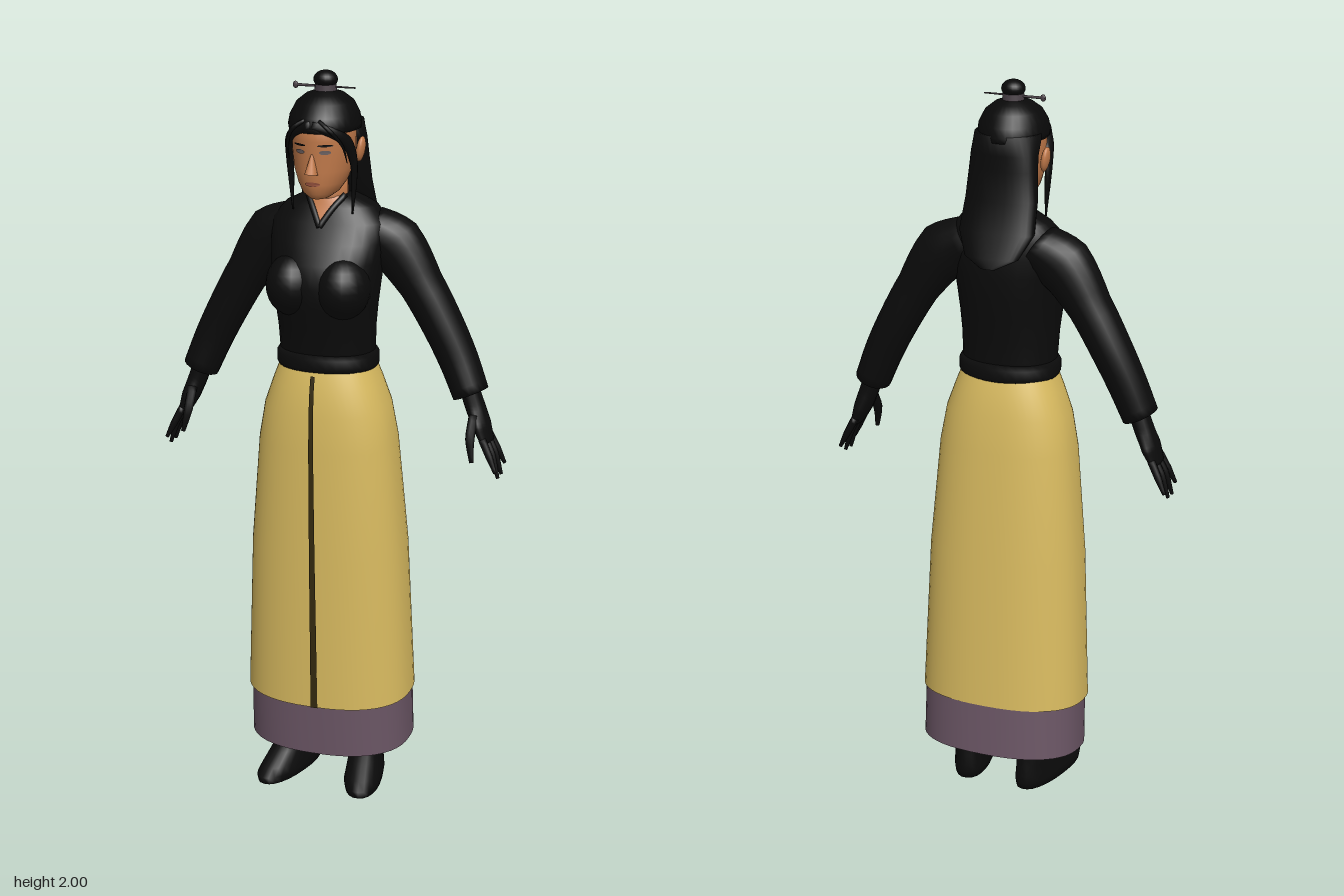
import * as THREE from 'three';

const mat = (name, color, side = THREE.FrontSide) => {
  const m = new THREE.MeshStandardMaterial({ color, side });
  m.name = name;
  return m;
};

// Joins rings of points into a smooth skin; a ring shrunk to a point closes an end.
function skinRings(rings) {
  const n = rings[0].length, pos = [], idx = [];
  rings.forEach(r => r.forEach(p => pos.push(p.x, p.y, p.z)));
  for (let i = 0; i < rings.length - 1; i++) for (let j = 0; j < n; j++) {
    const a = i * n + j, b = i * n + (j + 1) % n, c = b + n, d = a + n;
    idx.push(a, d, c, a, c, b);
  }
  const g = new THREE.BufferGeometry();
  g.setAttribute('position', new THREE.Float32BufferAttribute(pos, 3));
  g.setIndex(idx);
  g.computeVertexNormals();
  return g;
}

const bend = (v, p) => Math.sign(v) * Math.abs(v) ** (2 / p);

// Upright loft; each section is [y, half width, front z, back z]. Tilt raises the back.
function loft(sections, { power = 2, tilt = 0, closed = true, seg = 32 } = {}) {
  const list = sections.slice();
  if (closed) {
    const end = ([y, , f, b]) => [y, 0, (f + b) / 2, (f + b) / 2];
    list.unshift(end(sections[0]));
    list.push(end(sections.at(-1)));
  }
  return skinRings(list.map(([y, hx, f, b]) => Array.from({ length: seg }, (_, j) => {
    const a = j / seg * Math.PI * 2;
    const z = (f + b) / 2 + (f - b) / 2 * bend(Math.sin(a), power);
    return new THREE.Vector3(hx * bend(Math.cos(a), power), y - tilt * z, z);
  })));
}

// Elliptical tube along a curve; each radius is [across, along z].
function sweep(points, radii, seg = 14, steps = 20) {
  const curve = new THREE.CatmullRomCurve3(points.map(p => new THREE.Vector3(...p)));
  const rings = [];
  for (let i = 0; i <= steps; i++) {
    const t = i / steps, c = curve.getPoint(t), d = curve.getTangent(t);
    const u = new THREE.Vector3(0, 0, 1).addScaledVector(d, -d.z).normalize();
    const v = d.clone().cross(u);
    const k = Math.min(t * (radii.length - 1), radii.length - 1.0001), q = Math.floor(k);
    const r = [0, 1].map(e => THREE.MathUtils.lerp(radii[q][e], radii[q + 1][e], k - q));
    rings.push(Array.from({ length: seg }, (_, j) => {
      const a = j / seg * Math.PI * 2;
      return c.clone().addScaledVector(v, r[0] * Math.cos(a)).addScaledVector(u, r[1] * Math.sin(a));
    }));
    if (i === 0) rings.unshift(rings[0].map(() => c.clone()));
    if (i === steps) rings.push(rings.at(-1).map(() => c.clone()));
  }
  return skinRings(rings);
}

// Front z of a loft at a given x and y.
function frontZ(sections, x, y) {
  let i = 0;
  while (i < sections.length - 2 && sections[i + 1][0] < y) i++;
  const [a, b] = [sections[i], sections[i + 1]], t = (y - a[0]) / (b[0] - a[0]);
  const [, hx, f, k] = a.map((v, e) => v + (b[e] - v) * t);
  return (f + k) / 2 + (f - k) / 2 * Math.sqrt(Math.max(0, 1 - (x / hx) ** 2));
}

// Lays a flat shape onto the front of a loft.
function drape(g, sections, lift) {
  const p = g.attributes.position;
  for (let i = 0; i < p.count; i++) p.setZ(i, frontZ(sections, p.getX(i), p.getY(i)) + lift);
  g.computeVertexNormals();
  return g;
}

const SKIRT = [[0.265, 0.233, 0.16, -0.178], [0.7, 0.216, 0.16, -0.15], [1.0, 0.19, 0.156, -0.125],
  [1.1, 0.172, 0.15, -0.112], [1.17, 0.147, 0.14, -0.097], [1.22, 0.128, 0.125, -0.08]];
const TORSO = [[1.2, 0.125, 0.12, -0.08], [1.26, 0.13, 0.127, -0.08], [1.32, 0.132, 0.14, -0.085],
  [1.38, 0.138, 0.155, -0.092], [1.44, 0.146, 0.168, -0.1], [1.5, 0.152, 0.15, -0.104],
  [1.55, 0.16, 0.117, -0.102], [1.6, 0.16, 0.086, -0.095], [1.64, 0.125, 0.062, -0.085],
  [1.67, 0.065, 0.048, -0.065]];
const HEAD = [[1.675, 0.025, 0.125, 0.05], [1.69, 0.046, 0.14, 0.01], [1.715, 0.062, 0.145, -0.02],
  [1.75, 0.075, 0.148, -0.035], [1.8, 0.082, 0.149, -0.045], [1.83, 0.083, 0.153, -0.045],
  [1.86, 0.083, 0.152, -0.045], [1.9, 0.076, 0.135, -0.035], [1.93, 0.045, 0.09, 0]];

export function createModel() {
  const cloth = mat('black cloth', 0x0b0b0b), hair = mat('black hair', 0x090909);
  const yellow = mat('yellow skirt cloth', 0xd9bb60, THREE.DoubleSide);
  const mauve = mat('mauve cloth', 0x6b5665, THREE.DoubleSide);
  const dark = mat('dark brown slit', 0x33290f, THREE.DoubleSide);
  const skin = mat('skin', 0xc37b4b), lip = mat('lip', 0x9c5540);
  const eyeMat = mat('eye grey', 0x6d6262), metal = mat('hairpin grey', 0x4a4147);
  const model = new THREE.Group();
  const add = (name, g, m) => {
    const mesh = new THREE.Mesh(g, m);
    mesh.name = name;
    model.add(mesh);
    return mesh;
  };

  // Skirts
  add('skirt', loft(SKIRT, { power: 2.4, tilt: 0.09, closed: false, seg: 48 }), yellow);
  add('underskirt', loft([[0.118, 0.228, 0.146, -0.187], [0.3, 0.226, 0.15, -0.172]],
    { power: 2.4, tilt: 0.09, closed: false, seg: 48 }), mauve);
  const slit = new THREE.PlaneGeometry(0.015, 1, 2, 24), sp = slit.attributes.position;
  for (let i = 0; i < sp.count; i++) {
    const t = sp.getY(i) + 0.5;
    sp.setXY(i, sp.getX(i) * (1.3 - 0.5 * t) + 0.008 - 0.012 * t, 0.251 + t * 0.945);
  }
  add('skirtSlit', drape(slit, SKIRT, 0.004), dark);

  // Torso, belt and neckline
  add('jacket', loft(TORSO, { power: 2.2 }), cloth);
  add('belt', loft([[1.205, 0.134, 0.13, -0.088], [1.215, 0.139, 0.135, -0.093],
    [1.24, 0.139, 0.135, -0.093], [1.252, 0.132, 0.128, -0.086]], { power: 2.2 }), cloth);
  const vee = new THREE.PlaneGeometry(1, 1, 8, 10), vp = vee.attributes.position;
  for (let i = 0; i < vp.count; i++) {
    const t = vp.getY(i) + 0.5;
    vp.setXY(i, vp.getX(i) * 0.088 * t, 1.6 + t * 0.07);
  }
  add('neckline', drape(vee, TORSO, 0.006), skin);
  add('neck', loft([[1.6, 0.05, 0.05, -0.045], [1.66, 0.047, 0.056, -0.045], [1.71, 0.05, 0.085, -0.045]]), skin);

  // Head and face
  add('head', loft(HEAD), skin);
  const nose = new THREE.ConeGeometry(0.017, 0.065, 12, 6).scale(1, 1, 1.5);
  nose.rotateX(-0.17).translate(0, 1.777, 0.148);
  add('nose', nose, skin);
  const patch = (name, x, y, w, h, m) =>
    add(name, drape(new THREE.CircleGeometry(1, 16).scale(w, h, 1).translate(x, y, 0), HEAD, 0.003), m);
  patch('mouth', 0, 1.718, 0.021, 0.006, lip);

  for (const s of [1, -1]) {
    const side = s > 0 ? 'left' : 'right';
    const path = pts => pts.map(([x, y, z]) => [s * x, y, z]);
    patch(side + 'Eye', s * 0.034, 1.803, 0.014, 0.006, eyeMat);
    patch(side + 'Eyebrow', s * 0.035, 1.821, 0.019, 0.003, hair);
    add(side + 'Ear', new THREE.SphereGeometry(1, 14, 10).scale(0.011, 0.034, 0.021)
      .rotateZ(-s * 0.15).translate(s * 0.094, 1.797, 0.033), skin);
    add(side + 'Bust', new THREE.SphereGeometry(1, 20, 14).scale(0.073, 0.085, 0.085)
      .translate(s * 0.07, 1.437, 0.1), cloth);
    add(side + 'Lapel', sweep(path([[0.052, 1.672, 0.035], [0.028, 1.64, 0.066], [0, 1.594, 0.094]]),
      [[0.008, 0.008], [0.008, 0.008]], 8, 10), cloth);

    // Sleeve with flared cuff
    add(side + 'Sleeve', sweep(path([[0.1, 1.58, -0.02], [0.17, 1.535, -0.025], [0.245, 1.43, -0.028],
      [0.305, 1.325, -0.03], [0.35, 1.235, -0.028], [0.388, 1.145, -0.022]]),
      [[0.06, 0.07], [0.08, 0.068], [0.06, 0.062], [0.056, 0.06], [0.053, 0.056], [0.049, 0.056]], 20), cloth);

    // Hand
    add(side + 'Palm', sweep(path([[0.375, 1.18, -0.025], [0.4, 1.11, -0.025], [0.42, 1.06, -0.022],
      [0.438, 1.015, -0.02]]), [[0.026, 0.03], [0.026, 0.034], [0.023, 0.047], [0.014, 0.042]]), cloth);
    [[0.015, 0.03, 0.945], [-0.009, 0.002, 0.922], [-0.032, -0.032, 0.924], [-0.054, -0.066, 0.945]]
      .forEach(([z0, z1, y], i) => add(side + 'Finger' + (i + 1),
        sweep(path([[0.432, 1.03, z0], [0.455, 0.985, (z0 + z1) / 2], [0.474, y, z1]]),
          [[0.011, 0.012], [0.01, 0.011], [0.005, 0.005]], 8, 8), cloth));
    add(side + 'Thumb', sweep(path([[0.405, 1.09, 0.005], [0.405, 1.035, 0.038], [0.415, 0.975, 0.054]]),
      [[0.014, 0.014], [0.013, 0.013], [0.006, 0.006]], 8, 8), cloth);

    // Leg and boot, toes turned out
    add(side + 'Boot', loft([[0, 0.05, 0.175, -0.105], [0.02, 0.053, 0.18, -0.108], [0.04, 0.05, 0.155, -0.108],
      [0.07, 0.046, 0.105, -0.104], [0.1, 0.044, 0.06, -0.1], [0.25, 0.046, 0.04, -0.085],
      [0.6, 0.055, 0.05, -0.07], [1.0, 0.065, 0.06, -0.06]], { power: 2.3, seg: 24 })
      .rotateY(s * 0.2).translate(s * 0.105, 0, 0), cloth);

    // Hair locks framing the face
    add(side + 'ForeLock', sweep(path([[0, 1.872, 0.15], [0.045, 1.858, 0.136], [0.077, 1.825, 0.095],
      [0.088, 1.77, 0.072], [0.087, 1.71, 0.066], [0.083, 1.63, 0.066]]),
      [[0.014, 0.012], [0.015, 0.014], [0.013, 0.022], [0.009, 0.017], [0.007, 0.011], [0.002, 0.003]], 10), hair);
    add(side + 'Wisp', sweep(path([[0.02, 1.885, 0.148], [0.05, 1.865, 0.158], [0.075, 1.82, 0.125],
      [0.08, 1.77, 0.1]]), [[0.005, 0.005], [0.006, 0.005], [0.004, 0.004], [0.001, 0.001]], 6, 12), hair);
  }

  // Hair crown, long back hair and topknot
  add('hairCrown', loft([[1.852, 0.093, 0.155, -0.065], [1.865, 0.094, 0.16, -0.065], [1.89, 0.09, 0.151, -0.059],
    [1.92, 0.075, 0.128, -0.04], [1.94, 0.05, 0.098, -0.012], [1.951, 0.02, 0.06, 0.025]]), hair);
  add('backHair', loft([[1.535, 0.02, -0.135, -0.142], [1.56, 0.075, -0.09, -0.134], [1.62, 0.105, -0.04, -0.108],
    [1.7, 0.1, -0.002, -0.08], [1.78, 0.094, 0.014, -0.07], [1.82, 0.092, 0.03, -0.067],
    [1.87, 0.09, 0.08, -0.062]], { power: 2.3 }), hair);
  add('topknot', new THREE.SphereGeometry(0.032, 20, 14).scale(1, 0.75, 1).translate(0, 1.976, 0.042), hair);
  add('topknotBand', new THREE.CylinderGeometry(0.028, 0.03, 0.022, 20).translate(0, 1.953, 0.042), metal);
  add('hairpin', new THREE.CylinderGeometry(0.002, 0.004, 0.17, 8).rotateZ(-Math.PI / 2)
    .translate(-0.003, 1.957, 0.042), metal);
  add('hairpinHead', new THREE.SphereGeometry(0.008, 10, 8).scale(1, 1.2, 0.6).translate(-0.083, 1.957, 0.042), metal);

  return model;
}
